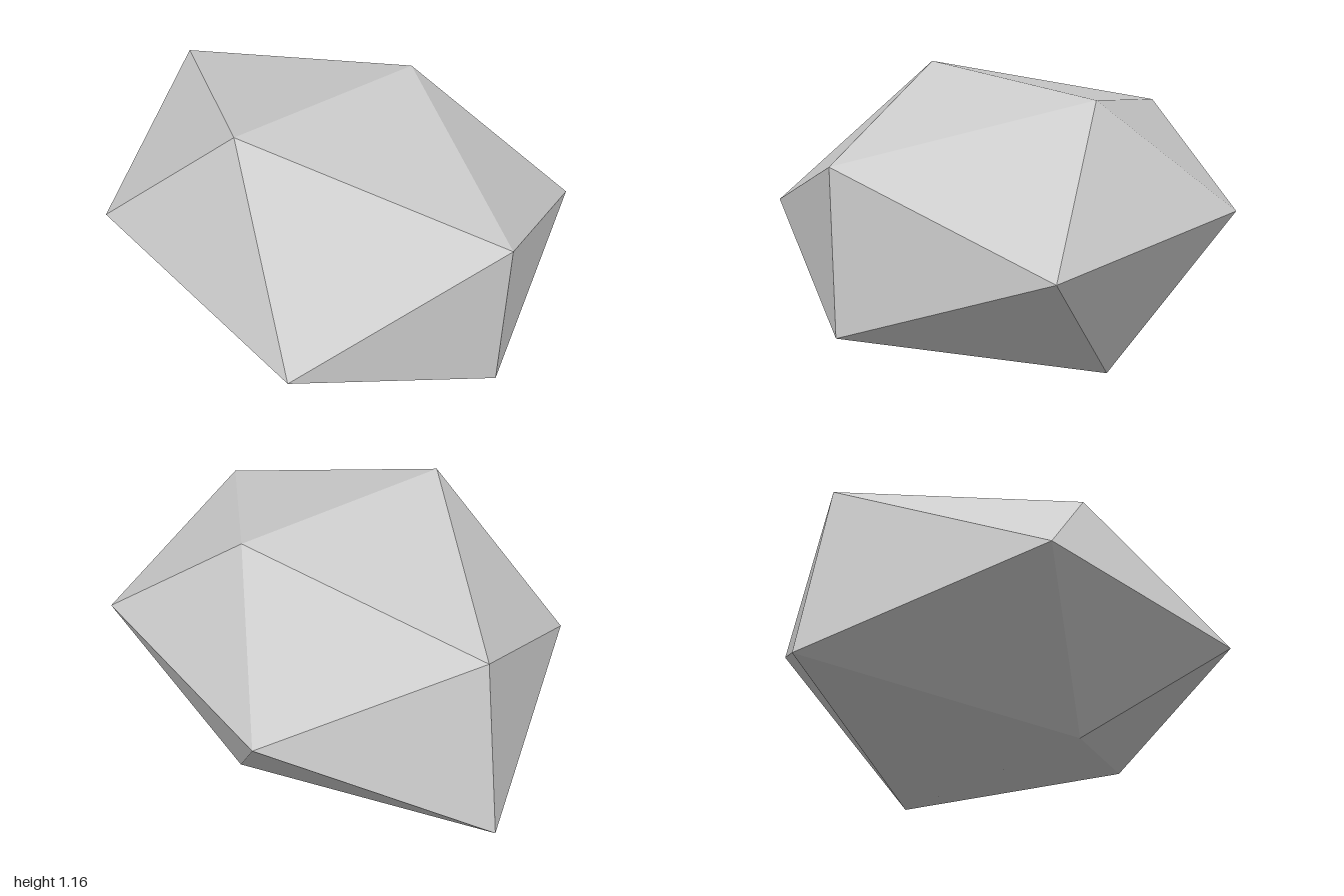
import * as THREE from 'three';

// Irregular icosahedral rock: three perpendicular sets of four corners.
// Keys are sign pairs, '+' or '-', along the named axes.
const ridge = { // y, z
  '++': [0.08, 1.16, 0.49], '+-': [0.08, 1.09, -0.44],
  '-+': [0.08, 0.11, 0.42], '--': [0.08, 0, -0.52],
};
const waist = { // z, x
  '++': [0.7, 0.6, 0.79], '+-': [-0.5, 0.6, 0.74],
  '-+': [0.69, 0.6, -0.79], '--': [-0.48, 0.6, -0.73],
};
const side = { // x, y
  '++': [0.99, 0.915, 0], '+-': [1, 0.28, 0],
  '-+': [-0.875, 0.935, 0], '--': [-1, 0.22, 0],
};

function rockGeometry() {
  const positions = [];
  const center = new THREE.Vector3(0, 0.58, 0);

  // Add a triangle, wound so that it faces outward
  const face = (...corners) => {
    const [a, b, c] = corners.map((p) => new THREE.Vector3(...p));
    const normal = new THREE.Triangle(a, b, c).getNormal(new THREE.Vector3());
    const outward = normal.dot(a.clone().sub(center)) > 0;
    for (const p of outward ? [a, b, c] : [a, c, b]) positions.push(p.x, p.y, p.z);
  };

  for (const s of '+-') {
    for (const t of '+-') {
      // Faces sharing the short edge of each pair
      face(ridge[s + '+'], ridge[s + '-'], side[t + s]);
      face(waist[s + '+'], waist[s + '-'], ridge[t + s]);
      face(side[s + '+'], side[s + '-'], waist[t + s]);
      // Octant faces between the three sets
      for (const u of '+-') face(ridge[t + u], waist[u + s], side[s + t]);
    }
  }

  const geometry = new THREE.BufferGeometry();
  geometry.setAttribute('position', new THREE.Float32BufferAttribute(positions, 3));
  geometry.computeVertexNormals();
  return geometry;
}

export function createModel() {
  const group = new THREE.Group();
  group.name = 'rock';
  const stone = new THREE.MeshStandardMaterial({ color: 0xcccccc });
  stone.name = 'stone grey';
  stone.flatShading = true;
  const body = new THREE.Mesh(rockGeometry(), stone);
  body.name = 'rockBody';
  group.add(body);
  return group;
}
